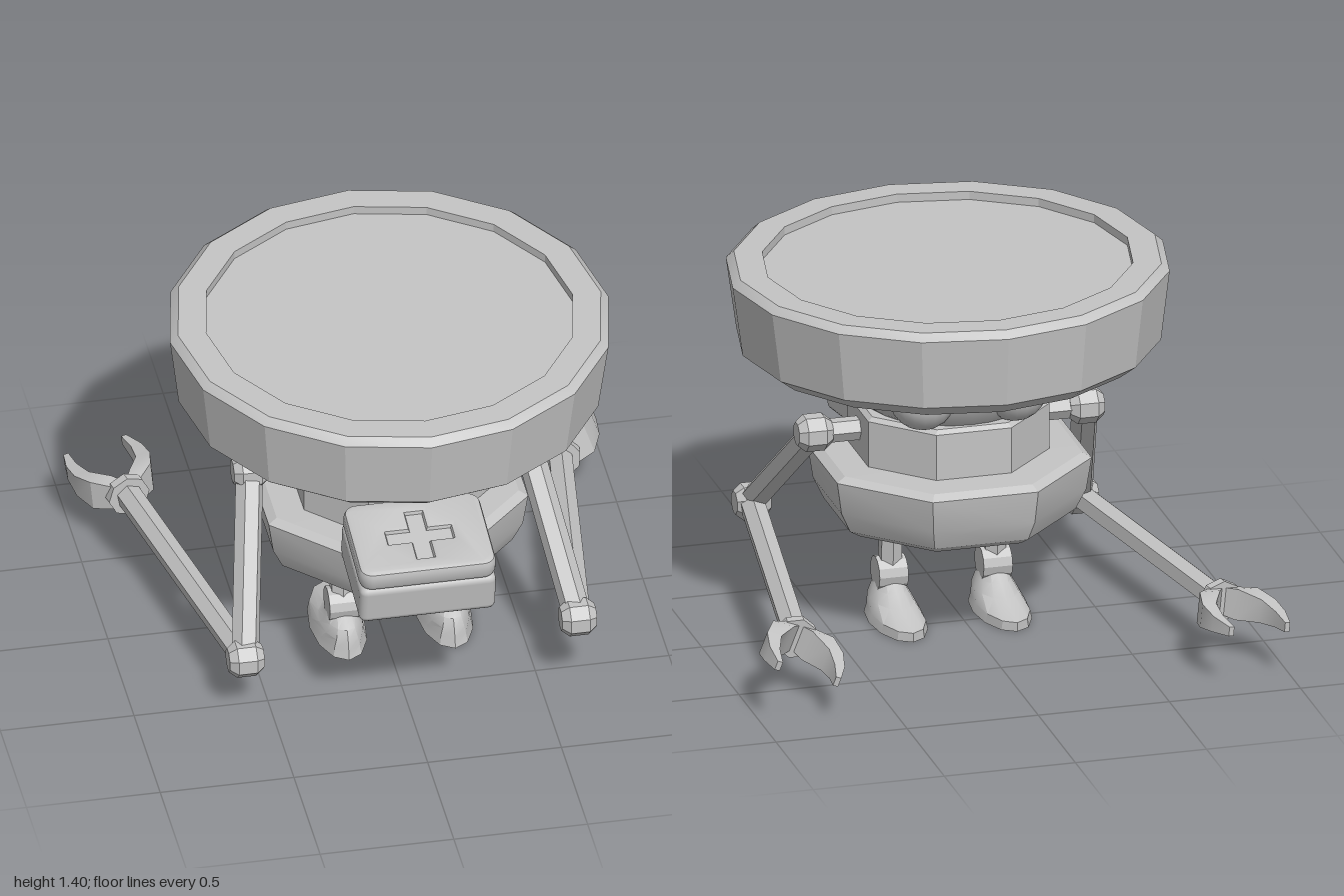
import * as THREE from 'three';
import { toCreasedNormals } from 'three/addons/utils/BufferGeometryUtils.js';
import { RoundedBoxGeometry } from 'three/addons/geometries/RoundedBoxGeometry.js';

const grey = new THREE.MeshStandardMaterial({ color: 0xc4c4c4 });
grey.name = 'light grey';
const CX = 0.03, CZ = 0.105; // body axis

const v = (x, y, z) => new THREE.Vector3(x, y, z);

function part(name, geometry, parent, crease = 0.35) {
  const mesh = new THREE.Mesh(crease ? toCreasedNormals(geometry, crease) : geometry, grey);
  mesh.name = name;
  parent.add(mesh);
  return mesh;
}

// Turned solid; profile is [radius, y] from bottom to top
function turned(profile, sides, turn = 0) {
  return new THREE.LatheGeometry(profile.map(p => new THREE.Vector2(...p)), sides, turn);
}

// Straight bar between two points
function rod(name, a, b, r, parent, sides = 6) {
  const mesh = part(name, new THREE.CylinderGeometry(r, r, a.distanceTo(b), sides), parent);
  mesh.position.copy(a).add(b).multiplyScalar(0.5);
  mesh.quaternion.setFromUnitVectors(v(0, 1, 0), b.clone().sub(a).normalize());
}

// Chamfered eight-sided joint lying along x
function joint(name, at, parent) {
  const profile = [[0, -0.065], [0.045, -0.065], [0.07, -0.035], [0.07, 0.035], [0.045, 0.065], [0, 0.065]];
  const mesh = part(name, turned(profile, 8, Math.PI / 8).rotateZ(Math.PI / 2), parent);
  mesh.position.copy(at);
}

// Curved, tapering claw finger: a box whose slices follow a path
function fingerGeometry() {
  // [forward, sideways, half thickness, half height]
  const path = [[0, 0.025, 0.03, 0.05], [0.055, 0.078, 0.042, 0.06], [0.14, 0.122, 0.028, 0.045],
    [0.23, 0.128, 0.02, 0.03], [0.318, 0.115, 0.01, 0.018]];
  const geo = new THREE.BoxGeometry(1, 1, 1, 1, 1, 4), pos = geo.attributes.position;
  for (let i = 0; i < pos.count; i++) {
    const [f, s, t, h] = path[Math.round((pos.getZ(i) + 0.5) * 4)];
    pos.setXYZ(i, s + pos.getX(i) * 2 * t, pos.getY(i) * 2 * h, f);
  }
  return geo;
}

// Foot: a cylinder whose rings become long ovals towards the sole
function footGeometry() {
  // [y, zMin, zMax, half width], top to bottom
  const rings = [[0.135, 0.1, 0.215, 0.05], [0.105, 0.055, 0.265, 0.063], [0.07, -0.01, 0.285, 0.08],
    [0.035, -0.165, 0.295, 0.094], [0, -0.165, 0.305, 0.103]];
  const geo = new THREE.CylinderGeometry(1, 1, 1, 12, 4), pos = geo.attributes.position;
  for (let i = 0; i < pos.count; i++) {
    const [y, z0, z1, w] = rings[Math.round((0.5 - pos.getY(i)) * 4)];
    pos.setXYZ(i, pos.getX(i) * w, y, (z0 + z1) / 2 + pos.getZ(i) * (z1 - z0) / 2);
  }
  return geo;
}

function addArm(side, shoulder, elbow, wrist, roll, parent) {
  const arm = new THREE.Group();
  arm.name = side + 'Arm';
  parent.add(arm);
  rod('shoulderBar', v(CX, shoulder.y, shoulder.z), shoulder, 0.045, arm);
  joint('shoulderJoint', shoulder, arm);
  rod('upperArm', shoulder, elbow, 0.052, arm);
  joint('elbowJoint', elbow, arm);
  rod('forearm', elbow, wrist, 0.05, arm);

  const hand = new THREE.Group();
  hand.name = 'hand';
  hand.position.copy(wrist);
  hand.lookAt(wrist.clone().multiplyScalar(2).sub(elbow));
  hand.rotateZ(roll);
  arm.add(hand);
  part('wristCuff', new THREE.CylinderGeometry(0.08, 0.08, 0.036, 8).rotateX(Math.PI / 2), hand);
  for (const turn of [0, Math.PI]) part('clawFinger', fingerGeometry(), hand, 0.5).rotation.z = turn;
}

function addCase(parent) {
  const box = new THREE.Group();
  box.name = 'carryCase';
  box.position.set(CX, 0.695, 0.678);
  box.rotation.x = 0.15;
  parent.add(box);
  part('caseBody', new RoundedBoxGeometry(0.51, 0.165, 0.39, 2, 0.028), box, 0).position.y = -0.04;
  part('caseInner', new THREE.BoxGeometry(0.46, 0.1, 0.34), box).position.y = 0.05;

  // Lid with a sunken cross
  const w = 0.235, d = 0.175, r = 0.03, shape = new THREE.Shape();
  [[w - r, r - d, -Math.PI / 2], [w - r, d - r, 0], [r - w, d - r, Math.PI / 2], [r - w, r - d, Math.PI]]
    .forEach(([x, y, a]) => shape.absarc(x, y, r, a, a + Math.PI / 2));
  const a = 0.05, b = 0.14;
  const cross = [[a, a], [a, b], [-a, b], [-a, a], [-b, a], [-b, -a], [-a, -a], [-a, -b], [a, -b], [a, -a], [b, -a], [b, a]];
  shape.holes.push(new THREE.Path(cross.map(p => new THREE.Vector2(...p))));
  const lid = new THREE.ExtrudeGeometry(shape, {
    depth: 0.04, bevelSize: 0.02, bevelThickness: 0.02, bevelSegments: 2, curveSegments: 4,
  });
  part('caseLid', lid.rotateX(-Math.PI / 2), box, 0.6).position.y = 0.058;
}

export function createModel() {
  const model = new THREE.Group();
  model.name = 'robot';

  const body = new THREE.Group();
  body.name = 'body';
  body.position.set(CX, 0, CZ);
  model.add(body);

  // Wide sixteen-sided dish, slightly tilted
  const dish = part('dish', turned([[0, -0.165], [0.62, -0.165], [0.72, -0.155], [0.785, -0.105], [0.82, 0.165],
    [0.79, 0.192], [0.685, 0.192], [0.685, 0.16], [0, 0.16]], 16), body);
  dish.position.y = 1.2;
  dish.rotation.set(0.012, 0, -0.009);

  // Bowl-shaped head with two bulging eyes
  part('head', turned([[0, 0.83], [0.29, 0.83], [0.325, 0.86], [0.355, 0.92], [0.38, 0.98], [0.395, 1.045], [0, 1.045]], 28), body, 0.6);
  for (const s of [-1, 1])
    part('eye', new THREE.SphereGeometry(0.125, 18, 12), body, 0).position.set(s * 0.175, 0.965, -0.27);

  // Octagonal chest and belly
  part('chest', turned([[0, 0.63], [0.374, 0.63], [0.374, 0.835], [0.355, 0.85], [0, 0.85]], 8, Math.PI / 8), body);
  const belly = part('belly', turned([[0, 0.42], [0.3, 0.42], [0.3, 0.402], [0.42, 0.402], [0.465, 0.43], [0.505, 0.51],
    [0.525, 0.635], [0.49, 0.655], [0, 0.665]], 8, Math.PI / 8), body, 0.4);
  belly.position.z = -0.018;

  // Legs, ankles and feet
  for (const x of [-0.157, 0.24]) {
    const leg = new THREE.Group();
    leg.name = x > 0 ? 'leftLeg' : 'rightLeg';
    leg.position.x = x;
    model.add(leg);
    rod('shin', v(0, 0.16, 0.155), v(0, 0.43, 0.13), 0.045, leg);
    rod('ankle', v(-0.055, 0.16, 0.155), v(0.055, 0.16, 0.155), 0.065, leg, 12);
    part('foot', footGeometry(), leg, 0.5);
  }

  addArm('left', v(0.545, 0.76, 0.1), v(0.635, 0.305, 0.62), v(0.79, 0.215, -0.525), -0.34, model);
  addArm('right', v(-0.49, 0.76, 0.1), v(-0.592, 0.23, 0.54), v(-0.81, 0.215, -0.595), -0.1, model);
  addCase(model);
  return model;
}
